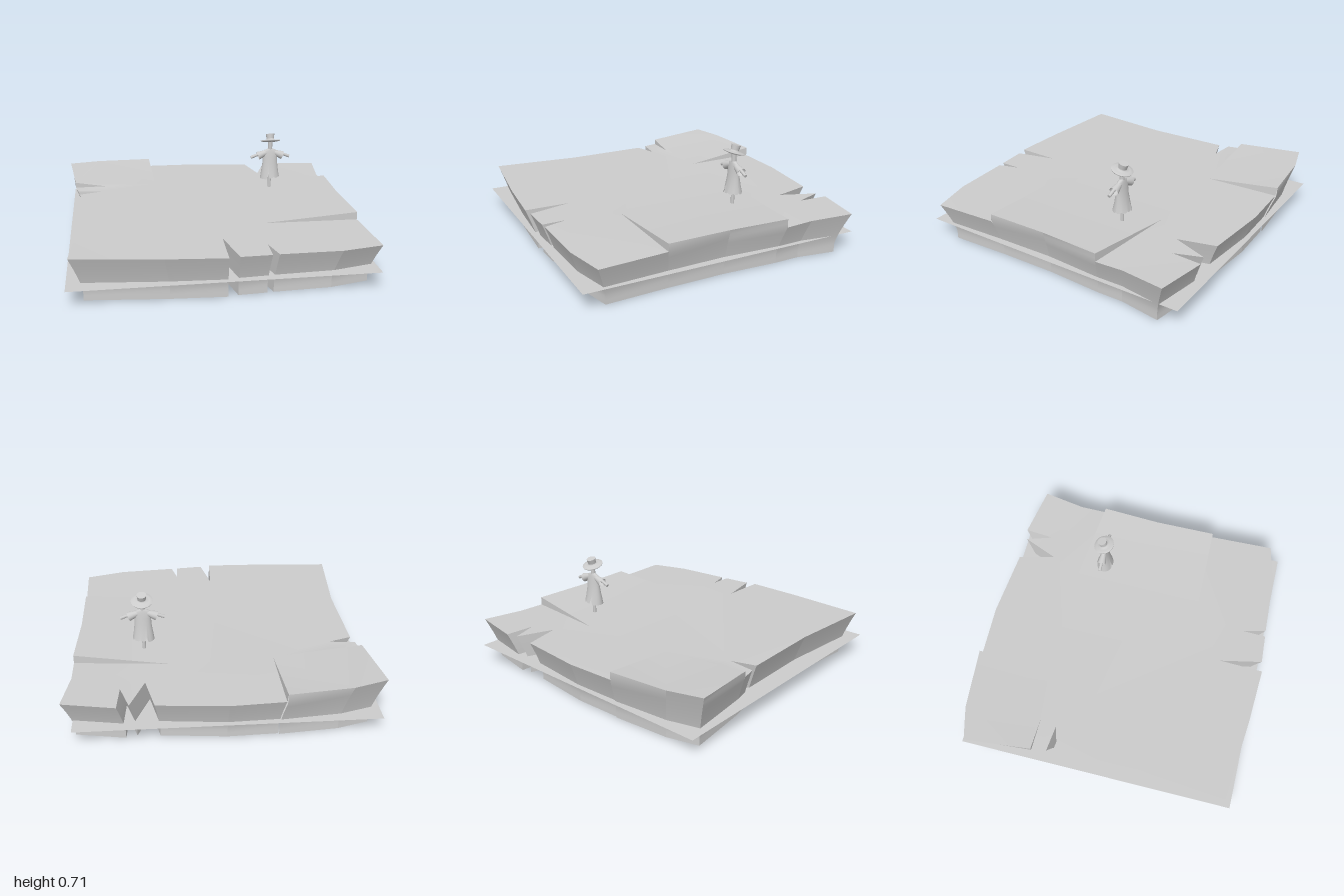
import * as THREE from 'three';

const grey = new THREE.MeshStandardMaterial({ color: 0xcccccc, side: THREE.DoubleSide });

// Outline of the ground top as [x, y, z], walking round from the back left corner
const P = {
  bl: [-1, 0.36, -0.89], b1: [-0.78, 0.355, -0.95], bHigh: [-0.37, 0.348, -0.983],
  bLow: [-0.365, 0.29, -0.975], b2: [-0.02, 0.285, -0.985], b3: [0.43, 0.28, -0.94],
  n1: [0.49, 0.278, -0.69], b4: [0.585, 0.28, -0.93], n2: [0.645, 0.278, -0.75],
  b5: [0.66, 0.28, -0.95], br: [1, 0.282, -0.89], r1: [0.957, 0.272, -0.6],
  rLow: [0.96, 0.265, -0.41], rHigh: [0.96, 0.322, -0.41], r2: [0.94, 0.322, 0],
  fHigh: [0.945, 0.322, 0.425], fLow: [0.945, 0.27, 0.425], fr: [0.963, 0.265, 0.873],
  f1: [0.69, 0.272, 0.937], f2: [0.29, 0.28, 0.953], n3: [0.25, 0.282, 0.8],
  f3: [0.247, 0.28, 0.957], f4: [0.05, 0.284, 0.968], n4: [-0.012, 0.287, 0.68],
  f5: [-0.02, 0.286, 0.982], f6: [-0.4, 0.292, 0.96], fl: [-0.957, 0.303, 0.903],
  l1: [-0.905, 0.3, 0.3], l2: [-0.913, 0.3, -0.27], n5: [-0.755, 0.3, -0.32],
  l3: [-0.93, 0.3, -0.34], lLow: [-0.95, 0.3, -0.44], lHigh: [-0.95, 0.338, -0.44],
};
const outline = Object.keys(P);

// Inner ends of the four raised splits
Object.assign(P, {
  tipL: [-0.73, 0.303, -0.435], tipB: [-0.35, 0.292, -0.47],
  tipR: [0.34, 0.28, -0.487], tipF: [0.3, 0.282, 0.44],
});

const patches = [
  'bl b1 bHigh tipB tipL lHigh', 'bLow b2 b3 n1 tipR tipB',
  'n1 b4 n2 b5 br r1 rLow tipR', 'tipR rHigh r2 fHigh tipF',
  'tipF fLow fr f1 f2 n3', 'tipF n3 f3 f4 n4', 'n4 f5 f6 fl l1 l2 n5',
  'tipL tipB tipR tipF n4 n5', 'lLow tipL n5 l3',
];
const steps = ['lHigh lLow tipL', 'bHigh bLow tipB', 'rHigh rLow tipR', 'fHigh fLow tipF'];

function geometryFrom(positions, index) {
  const g = new THREE.BufferGeometry();
  g.setAttribute('position', new THREE.Float32BufferAttribute(positions, 3));
  g.setIndex(index);
  g.computeVertexNormals();
  return g;
}

function addMesh(parent, name, geometry) {
  const m = new THREE.Mesh(geometry, grey);
  m.name = name;
  parent.add(m);
  return m;
}

// Top surface: patches sharing their corner points, all facing up
function groundTop() {
  const names = Object.keys(P), index = [];
  for (const patch of patches) {
    const ids = patch.split(' ').map((n) => names.indexOf(n));
    const flat = ids.map((i) => new THREE.Vector2(P[names[i]][0], -P[names[i]][2]));
    for (const [a, b, c] of THREE.ShapeUtils.triangulateShape(flat.slice(), [])) {
      const up = THREE.ShapeUtils.area([flat[a], flat[b], flat[c]]) > 0;
      index.push(ids[a], ids[up ? b : c], ids[up ? c : b]);
    }
  }
  return geometryFrom(names.flatMap((n) => P[n]), index);
}

// Point on the side wall: narrow at the foot, flaring out to the top edge.
// Both sides of a split flare alike, so the raised side only adds height.
function wallPoint(name, t) {
  const [x, top, z] = P[name];
  const y = top * t, rim = P[name.replace('High', 'Low')][1];
  const flare = Math.min(1, Math.max(0, y - 0.06) / (rim - 0.06)) ** 1.25;
  const s = 0.926 + 0.074 * flare;
  return [x * s + 0.006 * (1 - flare), y, z * s];
}

// Side wall: one curved strip for each outline segment
function groundWall() {
  const rows = 10, pos = [], index = [];
  outline.forEach((name, i) => {
    const next = outline[(i + 1) % outline.length];
    if (name.slice(1) + next.slice(1) === 'HighLow' || name.slice(1) + next.slice(1) === 'LowHigh') return;
    const base = pos.length / 3;
    for (let r = 0; r <= rows; r++) {
      pos.push(...wallPoint(name, r / rows), ...wallPoint(next, r / rows));
      if (r < rows) {
        const k = base + r * 2;
        index.push(k, k + 2, k + 1, k + 1, k + 2, k + 3);
      }
    }
  });
  return geometryFrom(pos, index);
}

// Coat: oval rings from hem to collar, with a torn hem
function coat() {
  const n = 40, pos = [], index = [];
  const rings = [[0.37, 0.072, 0.058], [0.42, 0.064, 0.046], [0.48, 0.056, 0.034],
    [0.53, 0.055, 0.027], [0.562, 0.062, 0.021], [0.578, 0.045, 0.018], [0.59, 0.016, 0.014]];
  rings.forEach(([y, rx, rz], r) => {
    for (let i = 0; i <= n; i++) {
      const a = (i / n) * Math.PI * 2, c = Math.cos(a);
      const torn = c > -0.45 && c < -0.25;
      const hem = torn ? 0.405 : c < -0.45 ? 0.364 : 0.374 + (i % 4 === 0 ? 0.008 : 0);
      pos.push(rx * c, r === 0 ? hem : Math.max(y, hem + 0.02), rz * Math.sin(a));
      if (r < rings.length - 1 && i < n) {
        const k = r * (n + 1) + i, m = k + n + 1;
        index.push(k, m, k + 1, k + 1, m, m + 1);
      }
    }
  });
  return geometryFrom(pos, index);
}

function scarecrow() {
  const g = new THREE.Group();
  g.name = 'scarecrow';
  addMesh(g, 'pole', new THREE.CylinderGeometry(0.012, 0.012, 0.49, 12)).position.y = 0.355;
  addMesh(g, 'neck', new THREE.CylinderGeometry(0.016, 0.016, 0.09, 12)).position.y = 0.615;
  addMesh(g, 'coat', coat());

  // Drooping arms and open sleeves, mirrored
  for (const side of [1, -1]) {
    const arm = new THREE.Group();
    arm.name = side > 0 ? 'leftArm' : 'rightArm';
    arm.position.set(0, 0.582, 0);
    arm.rotation.z = side * (Math.PI / 2 - 0.37);
    addMesh(arm, 'armStick', new THREE.CylinderGeometry(0.011, 0.011, 0.155, 10)).position.y = -0.0775;
    const sleeve = addMesh(arm, 'sleeve', new THREE.CylinderGeometry(0.018, 0.031, 0.07, 16, 1, true));
    sleeve.position.set(-side * 0.01, -0.067, 0);
    g.add(arm);
  }

  // Hat tipped backwards
  const hat = new THREE.Group();
  hat.name = 'hat';
  hat.position.y = 0.648;
  hat.rotation.x = -0.28;
  const profile = [[0, -0.006], [0.04, -0.008], [0.07, -0.002], [0.072, 0.005], [0.05, 0.008],
    [0.03, 0.01], [0.027, 0.02]].map(([x, y]) => new THREE.Vector2(x, y));
  addMesh(hat, 'brim', new THREE.LatheGeometry(profile, 24));
  addMesh(hat, 'crown', new THREE.CylinderGeometry(0.032, 0.026, 0.046, 20)).position.y = 0.029;
  g.add(hat);
  g.position.set(0.499, 0, -0.293);
  return g;
}

export function createModel() {
  const model = new THREE.Group();
  const ground = new THREE.Group();
  ground.name = 'ground';
  addMesh(ground, 'groundTop', groundTop());
  addMesh(ground, 'groundWall', groundWall());
  const stepPoints = steps.flatMap((s) => s.split(' ').flatMap((n) => P[n]));
  addMesh(ground, 'splitFaces', geometryFrom(stepPoints, [...Array(steps.length * 3).keys()]));
  model.add(ground);

  // Thin square sheet cutting through the ground
  const sheet = addMesh(model, 'sheet', new THREE.PlaneGeometry(1.92, 1.92));
  sheet.rotation.x = -Math.PI / 2;
  sheet.position.set(-0.02, 0.122, 0);

  model.add(scarecrow());
  return model;
}
